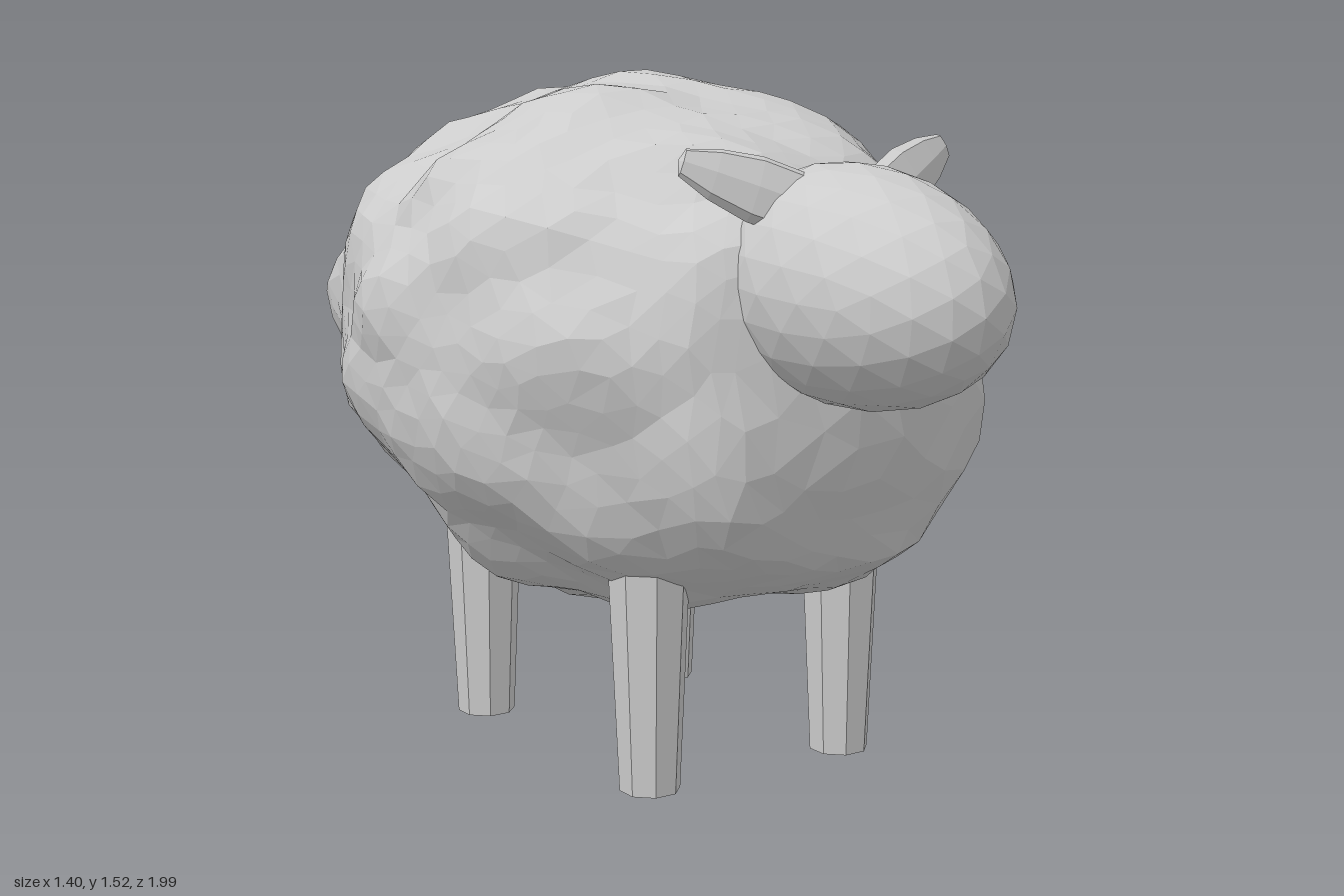
import * as THREE from 'three';

const material = new THREE.MeshStandardMaterial({ color: 0xcccccc, flatShading: true });

function addMesh(parent, name, geometry) {
  const mesh = new THREE.Mesh(geometry, material);
  mesh.name = name;
  parent.add(mesh);
  return mesh;
}

// Fleece outline from rump to chest: [z, right x, left x, bottom y, top y]
const SECTIONS = [
  [-0.98, -0.22, -0.22, 0.95, 0.95],
  [-0.95, -0.4, 0.01, 0.81, 1.1],
  [-0.89, -0.45, 0.22, 0.68, 1.22],
  [-0.81, -0.5, 0.47, 0.55, 1.33],
  [-0.66, -0.58, 0.54, 0.45, 1.44],
  [-0.45, -0.64, 0.58, 0.38, 1.47],
  [-0.22, -0.7, 0.66, 0.32, 1.51],
  [0.0, -0.69, 0.63, 0.35, 1.51],
  [0.2, -0.61, 0.55, 0.37, 1.45],
  [0.37, -0.48, 0.48, 0.41, 1.38],
  [0.5, -0.38, 0.42, 0.51, 1.31],
  [0.585, -0.28, 0.23, 0.68, 1.22],
  [0.61, -0.03, -0.03, 0.93, 0.93],
];

// Larger swellings and hollows in the wool: [x, y, z, push, radius]
const LUMPS = [
  [-0.4, 1.32, -0.38, -0.06, 0.13],
  [0.15, 1.15, -0.9, -0.04, 0.18],
  [-0.55, 0.55, 0, -0.03, 0.18],
  [0.53, 1.0, 0.26, -0.03, 0.15],
  [0.66, 0.98, -0.27, 0.03, 0.15],
  [0.62, 0.8, -0.1, 0.04, 0.16],
  [0.42, 1.1, -0.82, 0.03, 0.15],
  [-0.3, 0.95, -0.97, 0.03, 0.16],
  [0.6, 0.58, -0.2, -0.03, 0.15],
];

// Centres of the wool tufts, spread over a unit sphere with a seeded jitter
function tuftCentres(count) {
  let seed = 11;
  const rand = () => (seed = (seed * 16807) % 2147483647) / 2147483647;
  return Array.from({ length: count }, (_, i) => {
    const y = 1 - (2 * (i + 0.5)) / count;
    const r = Math.sqrt(1 - y * y);
    const a = i * 2.39996;
    return new THREE.Vector3(
      r * Math.cos(a) + (rand() - 0.5) * 0.35,
      y + (rand() - 0.5) * 0.35,
      r * Math.sin(a) + (rand() - 0.5) * 0.35
    ).normalize();
  });
}

// A sphere moved onto the outline, then puffed up around each tuft
function fleeceGeometry() {
  const geometry = new THREE.IcosahedronGeometry(1, 10);
  const pos = geometry.attributes.position;
  const tufts = tuftCentres(44);
  const d = new THREE.Vector3();
  const p = new THREE.Vector3();
  const out = new THREE.Vector3();
  const middle = new THREE.Vector3(0, 0.93, -0.18);
  for (let i = 0; i < pos.count; i++) {
    d.fromBufferAttribute(pos, i).normalize();
    // uneven facets
    d.x += 0.02 * Math.sin(d.y * 23 + d.z * 17);
    d.y += 0.02 * Math.sin(d.z * 21 + d.x * 19);
    d.z += 0.012 * Math.sin(d.x * 25 + d.y * 15);
    d.normalize();

    const t = (Math.acos(THREE.MathUtils.clamp(-d.z, -1, 1)) / Math.PI) * (SECTIONS.length - 1);
    const k = Math.min(Math.floor(t), SECTIONS.length - 2);
    const [z, x0, x1, y0, y1] = SECTIONS[k].map((v, j) => THREE.MathUtils.lerp(v, SECTIONS[k + 1][j], t - k));

    const near = Math.min(...tufts.map((c) => c.distanceTo(d)));
    const puff = 1.035 - 0.2 * near + 0.01 * Math.sin(d.x * 14 + d.y * 9 - d.z * 12);

    const a = Math.atan2(d.y, d.x);
    const c = Math.cos(a);
    const s = Math.sin(a);
    const square = Math.pow(Math.abs(c) ** 2.15 + Math.abs(s) ** 2.15, -1 / 2.15) * puff;
    p.set(
      (x0 + x1) / 2 + ((x1 - x0) / 2) * c * square,
      (y0 + y1) / 2 + ((y1 - y0) / 2) * s * square,
      middle.z + (z - middle.z) * puff
    );
    out.subVectors(p, middle).normalize();
    let push = 0;
    for (const [x, y, lz, amount, radius] of LUMPS) {
      const far = Math.hypot(p.x - x, p.y - y, p.z - lz) / radius;
      push += amount * Math.exp(-far * far);
    }
    p.addScaledVector(out, push);
    pos.setXYZ(i, p.x, p.y, p.z);
  }
  geometry.computeVertexNormals();
  return geometry;
}

// Flattened, blunt leaf shape reaching from the head along +y
function earGeometry() {
  const profile = [[0, -0.14], [0.07, -0.13], [0.072, -0.03], [0.055, 0.06], [0.03, 0.13], [0, 0.14]];
  const geometry = new THREE.LatheGeometry(profile.map(([r, y]) => new THREE.Vector2(r, y)), 7);
  return geometry.scale(1, 1, 0.35);
}

export function createModel() {
  const sheep = new THREE.Group();
  sheep.name = 'sheep';

  addMesh(sheep, 'fleece', fleeceGeometry());

  // Egg-shaped head, rising slightly towards the neck
  const headGeometry = new THREE.IcosahedronGeometry(1, 3);
  const pos = headGeometry.attributes.position;
  for (let i = 0; i < pos.count; i++) {
    const z = pos.getZ(i);
    pos.setXYZ(i, pos.getX(i) * 0.25, pos.getY(i) * 0.248 - 0.02 * z, z * (z > 0 ? 0.4 : 0.34));
  }
  headGeometry.computeVertexNormals();
  addMesh(sheep, 'head', headGeometry).position.set(-0.03, 1.125, 0.6);

  // Ears sweep outwards, up and back
  for (const side of [-1, 1]) {
    const ear = addMesh(sheep, side < 0 ? 'rightEar' : 'leftEar', earGeometry());
    ear.position.set(-0.03 + side * 0.22, 1.335, 0.51);
    const along = new THREE.Vector3(side * 0.2, 0.08, -0.08).normalize();
    const thin = new THREE.Vector3(side * 0.3, 0.3, 1).cross(along).cross(along).negate().normalize();
    const wide = new THREE.Vector3().crossVectors(along, thin);
    ear.quaternion.setFromRotationMatrix(new THREE.Matrix4().makeBasis(wide, along, thin));
  }

  // Tapered legs
  for (const [end, z] of [['front', 0.22], ['back', -0.49]]) {
    for (const [side, x] of [['Right', -0.285], ['Left', 0.23]]) {
      const leg = addMesh(sheep, `${end}${side}Leg`, new THREE.CylinderGeometry(0.094, 0.067, 0.6, 8));
      leg.position.set(x, 0.3, z);
      leg.rotation.y = Math.PI / 8;
    }
  }

  return sheep;
}
